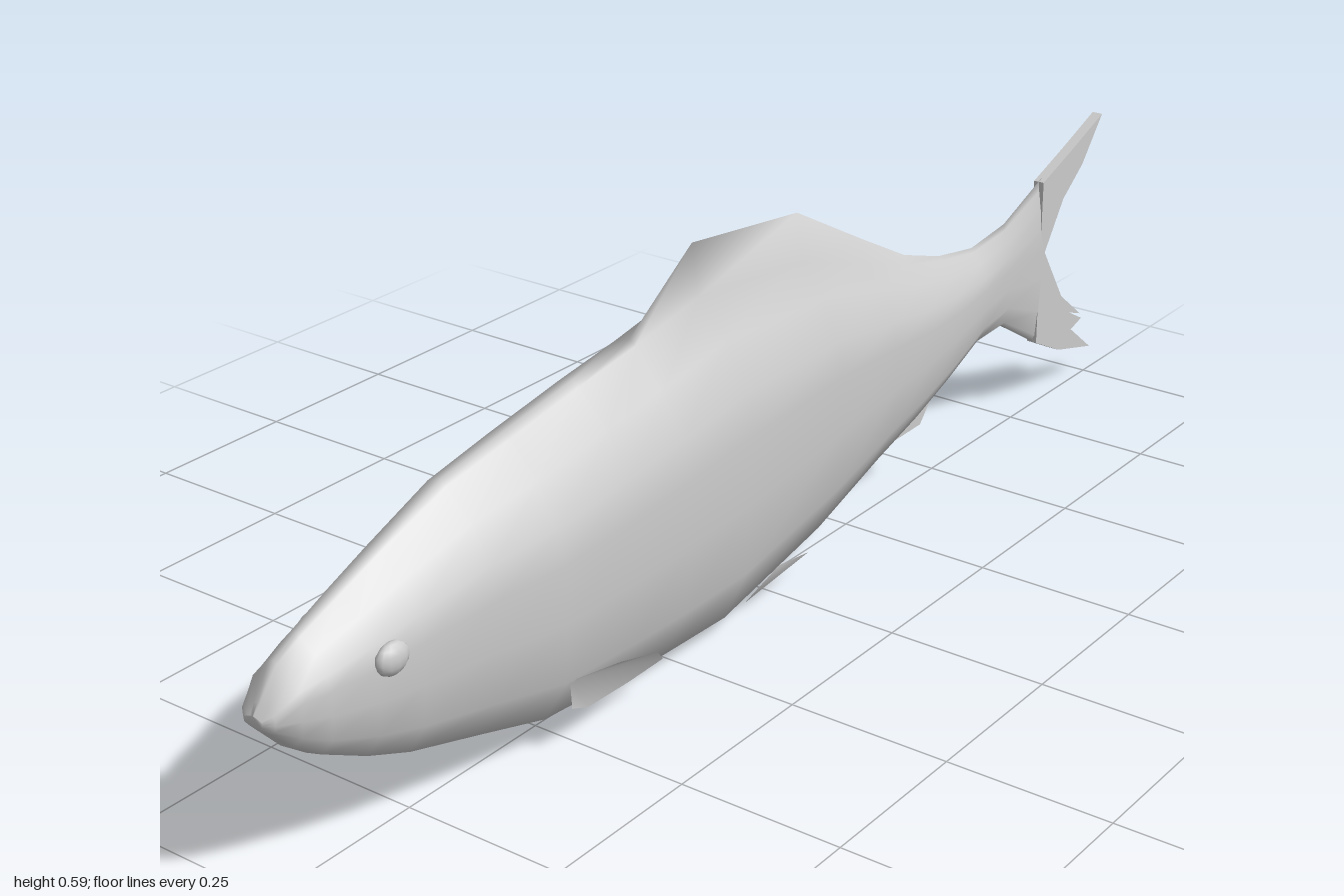
import * as THREE from 'three';

const material = new THREE.MeshStandardMaterial({ color: 0xcccccc, side: THREE.DoubleSide });

// Body stations along x: [x, crest of ridge or dorsal fin, back, belly, half width]
const stations = [
  [-1, 0.258, 0.258, 0.243, 0.016],
  [-0.99, 0.272, 0.27, 0.232, 0.028],
  [-0.96, 0.315, 0.31, 0.198, 0.043],
  [-0.92, 0.335, 0.33, 0.168, 0.052],
  [-0.85, 0.363, 0.358, 0.13, 0.064],
  [-0.78, 0.391, 0.385, 0.1, 0.072],
  [-0.66, 0.435, 0.427, 0.066, 0.09],
  [-0.54, 0.455, 0.447, 0.03, 0.101],
  [-0.4, 0.478, 0.47, 0.017, 0.102],
  [-0.28, 0.495, 0.487, 0.007, 0.101],
  [-0.14, 0.59, 0.512, 0.001, 0.1],
  [0.11, 0.56, 0.485, 0.045, 0.084],
  [0.28, 0.468, 0.43, 0.095, 0.069],
  [0.4, 0.405, 0.39, 0.125, 0.057],
  [0.5, 0.372, 0.365, 0.155, 0.046],
  [0.6, 0.355, 0.348, 0.19, 0.034],
  [0.7, 0.366, 0.355, 0.187, 0.02],
  [0.82, 0.413, 0.395, 0.115, 0.009],
];

// Half section below the crest: [fraction of half width, fraction of height]
const section = [[0.1, 1], [0.55, 0.89], [0.88, 0.75], [1, 0.63], [0.97, 0.42], [0.92, 0.21], [0.52, 0.045]];

function bodyGeometry() {
  const pos = [], index = [];
  const n = section.length * 2 + 2;
  for (const [x, crest, back, belly, w] of stations) {
    const h = back - belly;
    pos.push(x, crest, 0);
    for (const [fz, fy] of section) pos.push(x, belly + fy * h, fz * w);
    pos.push(x, belly, 0);
    // the far flank runs up to the crest in a straighter slope
    for (const [fz, fy] of [...section].reverse()) {
      pos.push(x, belly + fy * h, -(fy === 1 ? 0.24 : fz) * w);
    }
  }
  for (let i = 0; i < stations.length - 1; i++) {
    for (let j = 0; j < n; j++) {
      const a = i * n + j, b = i * n + (j + 1) % n;
      index.push(a, b, a + n, b, b + n, a + n);
    }
  }
  // nose and tail end caps
  const last = (stations.length - 1) * n;
  for (let j = 1; j < n - 1; j++) {
    index.push(0, j + 1, j, last, last + j, last + j + 1);
  }
  const g = new THREE.BufferGeometry();
  g.setAttribute('position', new THREE.Float32BufferAttribute(pos, 3));
  g.setIndex(index);
  g.computeVertexNormals();
  return g;
}

// Thin plate cut from an outline in the x-y plane, centred on z = 0
function plate(points, thickness) {
  const shape = new THREE.Shape(points.map(([x, y]) => new THREE.Vector2(x, y)));
  return new THREE.ExtrudeGeometry(shape, { depth: thickness, bevelEnabled: false })
    .translate(0, 0, -thickness / 2);
}

// Thin fin from a fan of 3D points around the first one
function fan(points) {
  const g = new THREE.BufferGeometry().setFromPoints(points.map((p) => new THREE.Vector3(...p)));
  const index = [];
  for (let i = 1; i < points.length - 1; i++) index.push(0, i, i + 1);
  g.setIndex(index);
  g.computeVertexNormals();
  return g;
}

export function createModel() {
  const fish = new THREE.Group();
  fish.name = 'fish';
  const add = (name, geometry) => {
    const mesh = new THREE.Mesh(geometry, material);
    mesh.name = name;
    fish.add(mesh);
    return mesh;
  };

  add('body', bodyGeometry());

  // Forked tail
  add('upperTailLobe', plate([[0.81, 0.27], [0.825, 0.28], [0.88, 0.36], [0.94, 0.405],
    [1, 0.478], [0.9, 0.44], [0.81, 0.408]], 0.018));
  add('lowerTailLobe', plate([[0.81, 0.29], [0.81, 0.12], [0.89, 0.08], [1, 0.05], [0.93, 0.105],
    [0.965, 0.115], [0.92, 0.14], [0.96, 0.125], [0.89, 0.18], [0.825, 0.28]], 0.018));

  // Fin under the tail root
  add('analFin', plate([[0.24, 0.1], [0.31, 0.098], [0.45, 0.1], [0.5, 0.155], [0.36, 0.15]], 0.012));

  // Paired fins and eyes
  for (const s of [1, -1]) {
    const side = s > 0 ? 'front' : 'back';
    add(side + 'PectoralFin', fan([[-0.53, 0.115, s * 0.09], [-0.44, 0.107, s * 0.103],
      [-0.36, 0.085, s * 0.103], [-0.335, 0.06, s * 0.092], [-0.39, 0.043, s * 0.075],
      [-0.48, 0.048, s * 0.078], [-0.525, 0.07, s * 0.088]]));
    add(side + 'PelvicFin', fan([[-0.08, 0.02, s * 0.045], [0.0, 0.05, s * 0.05],
      [0.075, 0.04, s * 0.05], [0.08, 0.03, s * 0.04], [-0.02, 0.018, s * 0.03]]));
    const eye = add(side + 'Eye', new THREE.SphereGeometry(0.025, 12, 8));
    eye.scale.set(1.1, 0.9, 0.55);
    eye.position.set(-0.83, 0.28, s * 0.066);
  }
  return fish;
}
